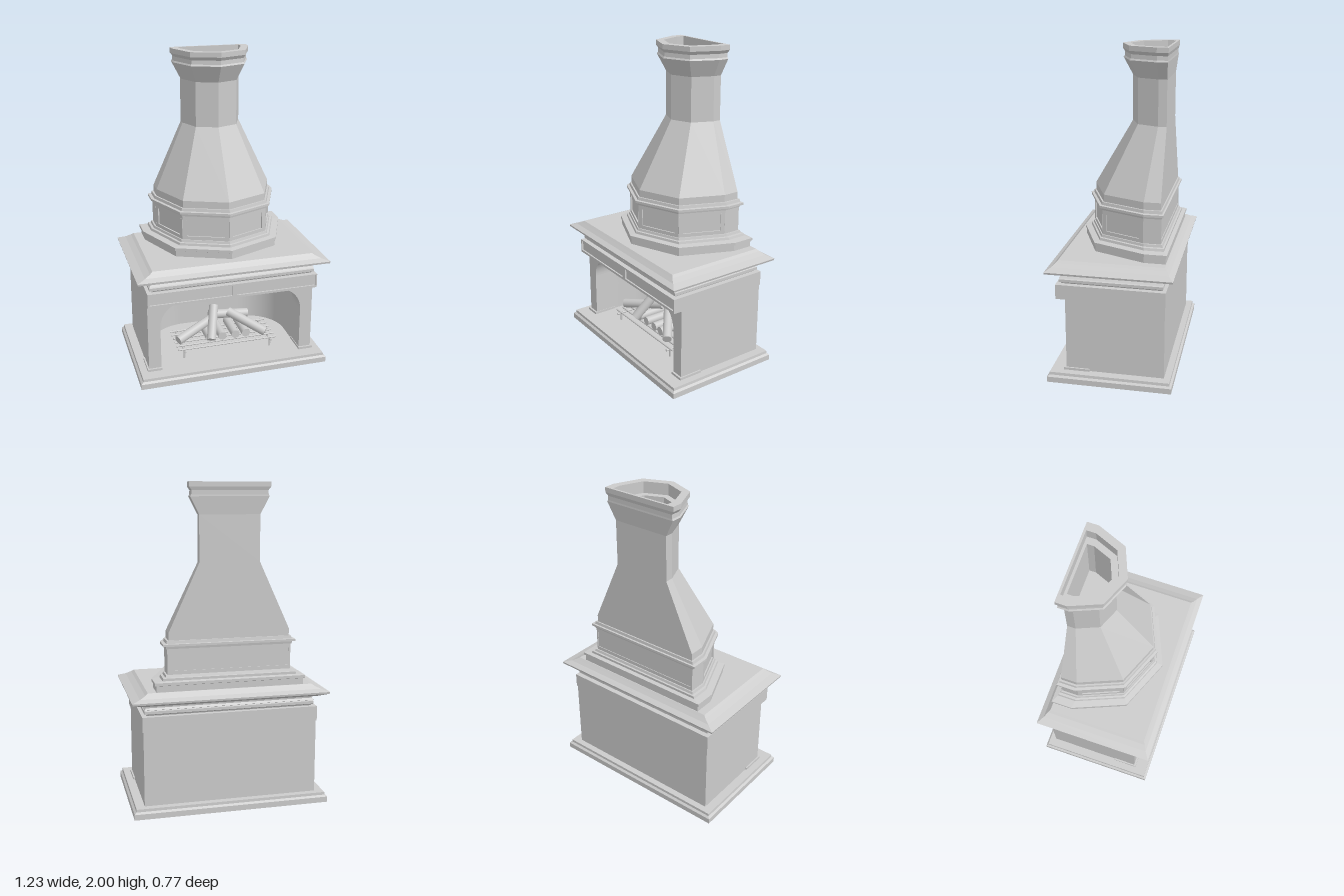
import * as THREE from 'three';
import { toCreasedNormals } from 'three/addons/utils/BufferGeometryUtils.js';

const mat = new THREE.MeshStandardMaterial({ color: 0xcccccc });

function add(parent, name, geometry) {
  const mesh = new THREE.Mesh(geometry, mat);
  mesh.name = name;
  parent.add(mesh);
  return mesh;
}

function box(parent, name, x0, x1, y0, y1, z0, z1) {
  const mesh = add(parent, name, new THREE.BoxGeometry(x1 - x0, y1 - y0, z1 - z0));
  mesh.position.set((x0 + x1) / 2, (y0 + y1) / 2, (z0 + z1) / 2);
  return mesh;
}

// Flat-shaded skin over a stack of convex rings [{ y, pts: [[x, z], ...] }], capped at both ends
function loft(rings) {
  const pos = [];
  const put = (r, i) => pos.push(r.pts[i][0], r.y, r.pts[i][1]);
  const n = rings[0].pts.length;
  for (let k = 0; k < rings.length - 1; k++) {
    const a = rings[k], b = rings[k + 1];
    for (let i = 0; i < n; i++) {
      const j = (i + 1) % n;
      put(a, i); put(b, i); put(b, j);
      put(a, i); put(b, j); put(a, j);
    }
  }
  const bottom = rings[0], top = rings[rings.length - 1];
  for (let i = 1; i < n - 1; i++) {
    put(bottom, 0); put(bottom, i); put(bottom, i + 1);
    put(top, 0); put(top, i + 1); put(top, i);
  }
  const g = new THREE.BufferGeometry();
  g.setAttribute('position', new THREE.Float32BufferAttribute(pos, 3));
  g.computeVertexNormals();
  return g;
}

// Rectangular level: height, half width, half depth
const rect = ([y, x, z]) => ({ y, pts: [[x, -z], [x, z], [-x, z], [-x, -z]] });

// Half-octagon level with a flat back: height, radius, back z, centre z
function hoodRing([y, w, back, c]) {
  const d = w * Math.SQRT1_2;
  return { y, pts: [[w, back], [w, c], [d, c + d], [0, c + w], [-d, c + d], [-w, c], [-w, back]] };
}

function rod(parent, name, a, b, r, sides) {
  const p = new THREE.Vector3(...a), q = new THREE.Vector3(...b);
  const dir = q.clone().sub(p);
  const mesh = add(parent, name, new THREE.CylinderGeometry(r, r, dir.length(), sides));
  mesh.position.copy(p).add(q).multiplyScalar(0.5);
  mesh.quaternion.setFromUnitVectors(new THREE.Vector3(0, 1, 0), dir.normalize());
  return mesh;
}

function extrude(shape, depth) {
  return new THREE.ExtrudeGeometry(shape, { depth, bevelEnabled: false, curveSegments: 14 });
}

function createFirebox() {
  const group = new THREE.Group();
  group.name = 'firebox';

  // Walls: U-shaped plan with a curved inner back
  const plan = new THREE.Shape();
  plan.moveTo(-0.545, -0.277);
  plan.lineTo(-0.465, -0.277);
  plan.lineTo(-0.465, 0.02);
  plan.absellipse(-0.2, 0.02, 0.265, 0.25, Math.PI, Math.PI / 2, true);
  plan.lineTo(0.2, 0.27);
  plan.absellipse(0.2, 0.02, 0.265, 0.25, Math.PI / 2, 0, true);
  plan.lineTo(0.465, -0.277);
  plan.lineTo(0.545, -0.277);
  plan.lineTo(0.545, 0.33);
  plan.lineTo(-0.545, 0.33);
  const walls = extrude(plan, 0.475).rotateX(-Math.PI / 2);
  add(group, 'fireboxWalls', toCreasedNormals(walls, 0.5)).position.y = 0.06;

  // Rounded corners of the opening
  const arch = new THREE.Shape();
  arch.moveTo(-0.465, 0.36);
  arch.absellipse(-0.29, 0.36, 0.175, 0.165, Math.PI, Math.PI / 2, true);
  arch.lineTo(0.29, 0.525);
  arch.absellipse(0.29, 0.36, 0.175, 0.165, Math.PI / 2, 0, true);
  arch.lineTo(0.465, 0.535);
  arch.lineTo(-0.465, 0.535);
  add(group, 'openingArch', toCreasedNormals(extrude(arch, 0.137), 0.5)).position.z = 0.14;

  // Pier feet
  for (const s of [-1, 1]) {
    box(group, 'pierFoot', s * 0.508 - 0.047, s * 0.508 + 0.047, 0.055, 0.077, 0.13, 0.29);
  }

  // Header with two recessed front panels
  box(group, 'header', -0.55, 0.55, 0.53, 0.622, -0.334, 0.325);
  const face = new THREE.Shape([[-0.55, 0.53], [0.55, 0.53], [0.55, 0.622], [-0.55, 0.622]]
    .map(p => new THREE.Vector2(...p)));
  for (const [a, b] of [[-0.54, -0.015], [0.015, 0.54]]) {
    face.holes.push(new THREE.Path([[a, 0.545], [a, 0.612], [b, 0.612], [b, 0.545]]
      .map(p => new THREE.Vector2(...p))));
  }
  add(group, 'headerFrame', extrude(face, 0.01)).position.z = 0.325;
  return group;
}

function createHood() {
  const group = new THREE.Group();
  group.name = 'hood';

  // Stepped foot, panelled band and its mouldings
  add(group, 'hoodFoot', loft([
    [0.76, 0.46, -0.318, -0.187], [0.805, 0.46, -0.318, -0.187], [0.808, 0.47, -0.325, -0.19],
    [0.825, 0.47, -0.325, -0.19], [0.83, 0.42, -0.3, -0.18], [0.845, 0.415, -0.3, -0.178],
    [0.847, 0.4, -0.29, -0.174], [0.862, 0.396, -0.285, -0.174]].map(hoodRing)));
  add(group, 'bandCore', loft([[0.86, 0.377, -0.274, -0.17], [1.03, 0.377, -0.274, -0.17]].map(hoodRing)));
  for (const [a, b] of [[0.86, 0.885], [0.993, 1.03]]) {
    add(group, 'bandRail', loft([[a, 0.386, -0.278, -0.17], [b, 0.386, -0.278, -0.17]].map(hoodRing)));
  }
  add(group, 'bandMoulding', loft([
    [1.02, 0.392, -0.28, -0.17], [1.034, 0.395, -0.283, -0.17], [1.036, 0.412, -0.293, -0.175],
    [1.05, 0.412, -0.293, -0.175], [1.052, 0.392, -0.283, -0.172], [1.07, 0.388, -0.28, -0.172]].map(hoodRing)));

  // Stiles framing the four panels
  const corners = hoodRing([0, 0.3815, 0, -0.17]).pts;
  for (let i = 1; i < 5; i++) {
    const [ax, az] = corners[i], [bx, bz] = corners[i + 1];
    for (const t of [0.045, 0.955]) {
      const stile = add(group, 'panelStile', new THREE.BoxGeometry(0.026, 0.115, 0.009));
      stile.position.set(ax + (bx - ax) * t, 0.94, az + (bz - az) * t);
      stile.rotation.y = Math.atan2(ax + bx, az + bz + 0.34);
    }
  }
  // Plain cheeks at the sides of the band
  for (const s of [-1, 1]) box(group, 'bandCheek', s * 0.381 - 0.005, s * 0.381 + 0.005, 0.88, 1, -0.278, -0.168);

  // Tapering hood, neck, flared cap and hollow flue
  add(group, 'chimney', loft([
    [1.06, 0.376, -0.272, -0.17], [1.115, 0.376, -0.272, -0.17], [1.53, 0.186, -0.272, -0.22],
    [1.81, 0.186, -0.272, -0.22], [1.915, 0.24, -0.281, -0.215], [1.925, 0.234, -0.28, -0.216],
    [1.95, 0.232, -0.28, -0.216], [1.97, 0.247, -0.286, -0.217], [2, 0.247, -0.286, -0.217],
    [2, 0.197, -0.272, -0.216], [1.93, 0.197, -0.272, -0.216], [1.93, 0.155, -0.256, -0.215],
    [1.6, 0.155, -0.256, -0.215]].map(hoodRing)));
  return group;
}

function createFire() {
  const group = new THREE.Group();
  group.name = 'fire';

  // Grate: long bars on two cross bars with legs
  for (let i = 0; i < 6; i++) {
    const z = -0.06 + i * 0.05;
    rod(group, 'grateBar', [-0.335, 0.127, z], [0.335, 0.127, z], 0.006, 8);
  }
  for (const x of [-0.293, 0.293]) {
    rod(group, 'grateCrossBar', [x, 0.115, -0.08], [x, 0.115, 0.21], 0.007, 8);
    for (const z of [-0.05, 0.18]) rod(group, 'grateLeg', [x, 0.058, z], [x, 0.125, z], 0.007, 8);
  }

  // Logs
  for (const x of [-0.11, -0.025, 0.065, 0.137]) {
    rod(group, 'shortLog', [x, 0.162, 0.15], [x, 0.162, -0.06], 0.028, 16);
  }
  const logs = [
    [[-0.32, 0.165, 0.13], [-0.04, 0.235, 0]],
    [[-0.11, 0.165, 0.18], [-0.055, 0.34, 0.04]],
    [[0.26, 0.17, 0.18], [0.05, 0.27, 0.02]],
    [[-0.07, 0.24, -0.03], [0.2, 0.215, -0.03]]];
  for (const [a, b] of logs) rod(group, 'log', a, b, 0.03, 16);
  return group;
}

export function createModel() {
  const model = new THREE.Group();
  model.name = 'fireplace';

  // Hearth slab
  add(model, 'hearth', loft([[0, 0.615, 0.384], [0.035, 0.615, 0.384], [0.045, 0.602, 0.371],
    [0.062, 0.6, 0.37]].map(rect)));

  model.add(createFirebox());

  // Mantel mouldings and shelf
  add(model, 'mantel', loft([
    [0.615, 0.515, 0.3], [0.628, 0.52, 0.305], [0.635, 0.534, 0.316], [0.652, 0.534, 0.316],
    [0.656, 0.522, 0.306], [0.66, 0.534, 0.316], [0.672, 0.525, 0.308], [0.684, 0.528, 0.31],
    [0.686, 0.552, 0.325], [0.71, 0.612, 0.382], [0.722, 0.615, 0.384], [0.738, 0.565, 0.352],
    [0.755, 0.53, 0.334], [0.767, 0.513, 0.322]].map(rect)));

  model.add(createHood(), createFire());
  return model;
}
